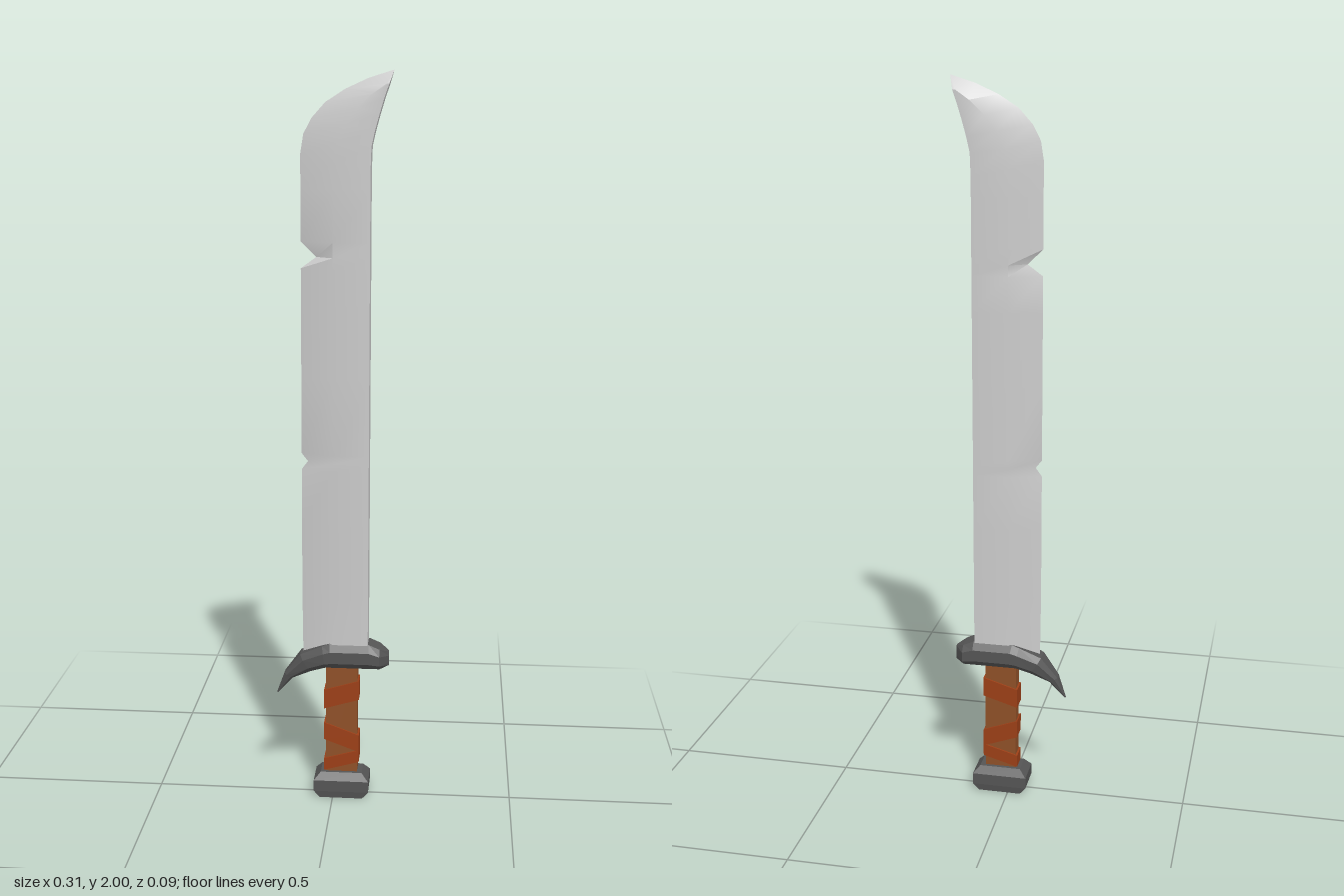
import * as THREE from 'three';
import { toCreasedNormals } from 'three/addons/utils/BufferGeometryUtils.js';

// Skin a list of equal-sized closed rings and cap both ends
function loft(rings) {
  const pos = [];
  const tri = (a, b, c) => pos.push(...a, ...b, ...c);
  const n = rings[0].length;
  for (let i = 0; i < rings.length - 1; i++) {
    for (let j = 0; j < n; j++) {
      const k = (j + 1) % n;
      const [a, b, c, d] = [rings[i][j], rings[i][k], rings[i + 1][k], rings[i + 1][j]];
      tri(a, b, c);
      tri(a, c, d);
    }
  }
  const first = rings[0], last = rings[rings.length - 1];
  for (let j = 1; j < n - 1; j++) {
    tri(first[0], first[j + 1], first[j]);
    tri(last[0], last[j], last[j + 1]);
  }
  const geometry = new THREE.BufferGeometry();
  geometry.setAttribute('position', new THREE.Float32BufferAttribute(pos, 3));
  geometry.computeVertexNormals();
  return geometry;
}

// Rectangular ring around the handle axis; slope tilts it along x
const AXIS_X = 0.024;
const rectRing = (y, hx, hz, slope = 0) =>
  [[1, 1], [1, -1], [-1, -1], [-1, 1]].map(([sx, sz]) => [AXIS_X + sx * hx, y + sx * hx * slope, sz * hz]);

export function createModel() {
  const group = new THREE.Group();
  const steel = new THREE.MeshStandardMaterial({ color: 0xcccccc });
  const iron = new THREE.MeshStandardMaterial({ color: 0x555555, flatShading: true });
  const wood = new THREE.MeshStandardMaterial({ color: 0x8f5028, flatShading: true });
  const leather = new THREE.MeshStandardMaterial({ color: 0x9c3f17, flatShading: true });
  const add = (name, geometry, material) => {
    const mesh = new THREE.Mesh(geometry, material);
    mesh.name = name;
    group.add(mesh);
  };

  // Blade: each row is cutting edge x,y / bevel line x,y / spine x,y
  const T = 0.03;
  const straight = [
    [0.41, -0.085], [0.6, -0.087], [0.8, -0.087], [0.95, -0.087], [0.973, -0.07], [0.995, -0.087],
    [1.2, -0.087], [1.4, -0.087], [1.495, -0.087], [1.525, -0.046], [1.565, -0.087], [1.7, -0.087],
  ].map(([y, x]) => [x, y, 0, y, 0.097, y]);
  const curved = [
    [-0.087, 1.79, 0.0, 1.77, 0.097, 1.75],
    [-0.079, 1.84, 0.01, 1.82, 0.099, 1.81],
    [-0.058, 1.88, 0.03, 1.865, 0.108, 1.85],
    [-0.022, 1.92, 0.062, 1.905, 0.119, 1.89],
    [0.03, 1.953, 0.1, 1.94, 0.131, 1.93],
    [0.09, 1.98, 0.136, 1.965, 0.143, 1.965],
  ];
  const bladeRings = [...straight, ...curved].map(([ex, ey, bx, by, sx, sy]) =>
    [[sx, sy, T], [sx, sy, -T], [bx, by, -T], [ex, ey, 0], [bx, by, T]]);
  bladeRings.push(Array(5).fill([0.155, 2.0, 0]));
  add('blade', toCreasedNormals(loft(bladeRings), 0.55), steel);

  // Guard: chamfered bar with a hooked quillon; rows are top x,y / bottom x,y / half width
  const guardRows = [
    [-0.16, 0.3, -0.157, 0.298, 0.002],
    [-0.137, 0.362, -0.115, 0.348, 0.02],
    [-0.092, 0.422, -0.062, 0.374, 0.036],
    [-0.03, 0.45, -0.02, 0.388, 0.045],
    [-0.01, 0.458, 0.0, 0.388, 0.045],
    [0.1, 0.458, 0.1, 0.388, 0.045],
    [0.13, 0.445, 0.13, 0.388, 0.045],
    [0.155, 0.432, 0.155, 0.392, 0.008],
  ];
  const guardRings = guardRows.map(([tx, ty, bx, by, w]) => {
    const at = (t, z) => [tx + (bx - tx) * t, ty + (by - ty) * t, z * w];
    return [at(0, -0.62), at(0, 0.62), at(0.28, 1), at(0.75, 1), at(1, 0.65), at(1, -0.65), at(0.75, -1), at(0.28, -1)];
  });
  add('guard', loft(guardRings), iron);

  // Grip core
  add('grip', loft([rectRing(0.06, 0.044, 0.021), rectRing(0.4, 0.044, 0.021)]), wood);

  // Slanted leather wraps: centre height, height, slope
  [[0.306, 0.055, 0.3], [0.178, 0.05, -0.37], [0.108, 0.035, 0.28]].forEach(([y, h, slope], i) => {
    add(`gripWrap${i + 1}`, loft([
      rectRing(y - h / 2, 0.049, 0.026, slope),
      rectRing(y + h / 2, 0.049, 0.026, slope),
    ]), leather);
  });

  // Pommel block with chamfered top and bottom
  add('pommel', loft([
    rectRing(0, 0.06, 0.042),
    rectRing(0.02, 0.077, 0.045),
    rectRing(0.052, 0.077, 0.045),
    rectRing(0.073, 0.058, 0.031),
  ]), iron);

  return group;
}
